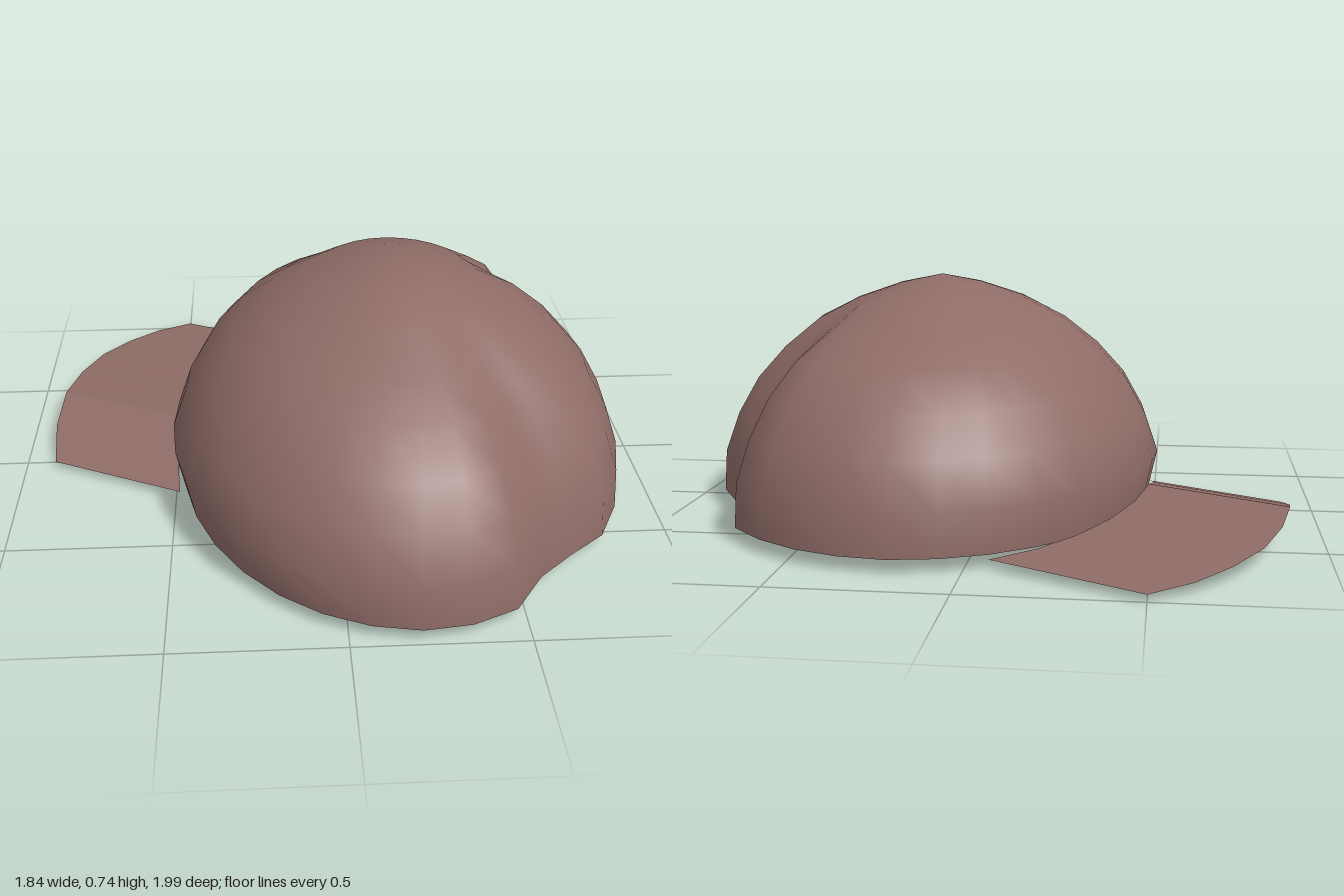
import * as THREE from 'three';

const SEG = 32;
const fabric = new THREE.MeshStandardMaterial({ color: 0x8f6c67, side: THREE.DoubleSide });
fabric.name = 'dusty brown fabric';

function surface(name, points, index, smooth) {
  let geo = new THREE.BufferGeometry();
  geo.setAttribute('position', new THREE.Float32BufferAttribute(points, 3));
  geo.setIndex(index);
  if (!smooth) geo = geo.toNonIndexed();
  geo.computeVertexNormals();
  const mesh = new THREE.Mesh(geo, fabric);
  mesh.name = name;
  return mesh;
}

// Open dome of oval rings, pressed in by two dents beside the bulging panel
function buildCrown() {
  const heights = [0.04, 0.17, 0.295, 0.41, 0.51, 0.6, 0.665, 0.712];
  const radii = [1, 0.99, 0.93, 0.84, 0.715, 0.56, 0.38, 0.19];
  const dentDepth = [1, 1.1, 1.3, 1.5, 1.5, 1.1, 0.3, 0];
  const dents = { 29: 0.09, 30: 0.075, 31: 0.01, 3: 0.015, 4: 0.075, 5: 0.085, 6: 0.01 };
  const points = [], index = [];
  heights.forEach((height, k) => {
    for (let i = 0; i < SEG; i++) {
      const a = (i / SEG) * Math.PI * 2;
      let r = radii[k] * (1 - (dents[i] || 0) * dentDepth[k]);
      let y = height;
      if (k === 0) {
        r *= 1 - 0.05 * Math.max(0, -Math.cos(a)); // rim tucks in above the brim
        if (i < 2) y = 0;                          // lowered tab of the rim
      }
      if (k === 5) y -= 0.03 * Math.sin(a) ** 2;   // sag at both ends
      points.push(0.2 + 0.715 * r * Math.cos(a), y, 0.07 + 0.92 * r * Math.sin(a));
    }
  });
  points.push(0.2, 0.74, 0.08);
  const apex = heights.length * SEG;
  for (let k = 0; k < heights.length; k++) {
    for (let i = 0; i < SEG; i++) {
      const n = (i + 1) % SEG, a = k * SEG + i, b = k * SEG + n;
      if (k === heights.length - 1) index.push(a, apex, b);
      else index.push(a, a + SEG, b + SEG, a, b + SEG, b);
    }
  }
  return surface('crown', points, index, true);
}

// Thin folded brim, from its outer edge to the rim of the crown
function buildBrim() {
  const outer = [
    [-0.905, 0.02, 0.03], [-0.92, 0.055, -0.15], [-0.905, 0.09, -0.32], [-0.87, 0.075, -0.5],
    [-0.81, 0.059, -0.67], [-0.72, 0.044, -0.81], [-0.62, 0.031, -0.92], [-0.5, 0.02, -1],
  ];
  const points = [], index = [];
  outer.forEach(([x, y, z], j) => {
    const a = ((15 + j) / SEG) * Math.PI * 2;
    points.push(x, y, z, 0.2 + 0.7 * Math.cos(a), y + 0.008, 0.07 + 0.91 * Math.sin(a));
    if (j) {
      const p = 2 * j - 2;
      index.push(p, p + 1, p + 3, p, p + 3, p + 2);
    }
  });
  return surface('brim', points, index, false);
}

export function createModel() {
  const cap = new THREE.Group();
  cap.name = 'cap';
  cap.add(buildCrown(), buildBrim());
  return cap;
}
